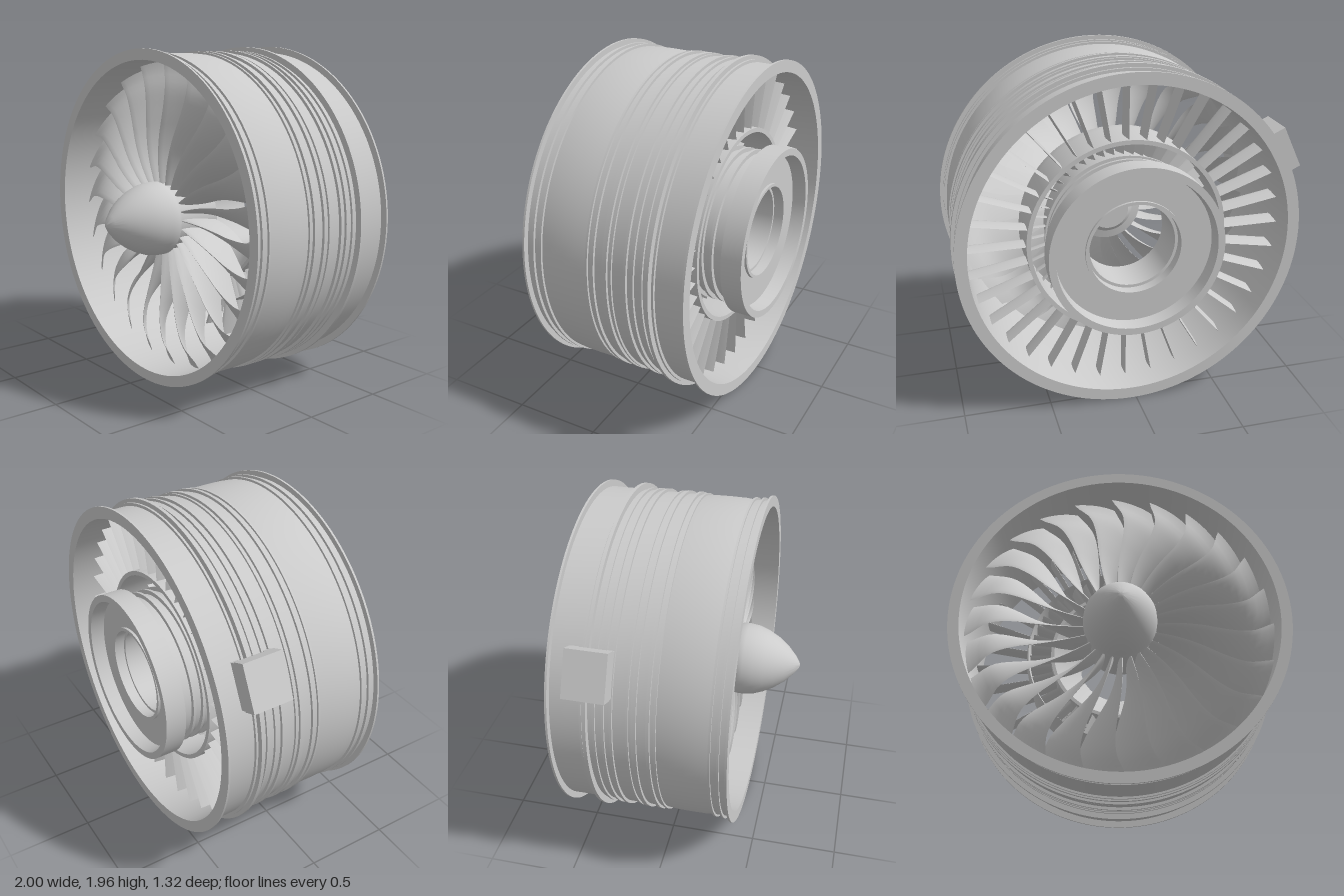
import * as THREE from 'three';
import { toCreasedNormals } from 'three/addons/utils/BufferGeometryUtils.js';

const material = new THREE.MeshStandardMaterial({ color: 0xcccccc, side: THREE.DoubleSide });
const rad = THREE.MathUtils.degToRad;

// Smooth interpolation through evenly spaced key values
const keyed = (...values) => {
  const curve = new THREE.SplineCurve(values.map((v, i) => new THREE.Vector2(i, v)));
  return (t) => curve.getPoint(t).y;
};

// Turned part about the z axis, from [radius, z] points
function turned(name, profile, segments = 112, crease = 0.45) {
  const geo = new THREE.LatheGeometry(profile.map(([r, z]) => new THREE.Vector2(r, z)), segments);
  geo.rotateX(Math.PI / 2);
  const mesh = new THREE.Mesh(toCreasedNormals(geo, crease), material);
  mesh.name = name;
  return mesh;
}

// Radial aerofoil lofted from closed sections laid on cylinders
function aerofoil(spec, rows, cols) {
  const pos = [], index = [], loop = cols * 2;
  for (let i = 0; i <= rows; i++) {
    const t = i / rows;
    const r = THREE.MathUtils.lerp(spec.r0, spec.r1, t);
    const lead = rad(spec.angle(t)), zL = spec.zLead(t), zT = spec.zTrail(t);
    const w = spec.width(t), thick = spec.thick(t);
    for (let j = 0; j < loop; j++) {
      const s = (1 - Math.cos((j / cols) * Math.PI)) / 2;
      const side = j < cols ? 1 : -1;
      // camber line, its normal and the half thickness
      const c = w * (s + spec.camber * s * (1 - s));
      const dc = w * (1 + spec.camber * (1 - 2 * s)), dz = zT - zL;
      const len = Math.hypot(dc, dz);
      const h = side * thick * (2.2 * Math.sqrt(s) * (1 - s) + 0.15 * Math.sqrt(s * (1 - s)));
      const tang = c - (h * dz) / len;
      const z = zL + dz * s + (h * dc) / len;
      const a = lead - tang / r;
      pos.push(r * Math.cos(a), r * Math.sin(a), z);
    }
  }
  for (let i = 0; i < rows; i++) {
    for (let j = 0; j < loop; j++) {
      const a = i * loop + j, b = i * loop + ((j + 1) % loop);
      index.push(a, a + loop, b, b, a + loop, b + loop);
    }
  }
  // end caps
  for (const [base, flip] of [[0, false], [rows * loop, true]]) {
    for (let j = 0; j < cols; j++) {
      const a = base + j, b = base + j + 1;
      const c = base + ((loop - j) % loop), d = base + loop - j - 1;
      if (flip) index.push(a, d, b, a, c, d);
      else index.push(a, b, d, a, d, c);
    }
  }
  const geo = new THREE.BufferGeometry();
  geo.setAttribute('position', new THREE.Float32BufferAttribute(pos, 3));
  geo.setIndex(index);
  return toCreasedNormals(geo, 0.7);
}

// Ring of equal parts about the z axis
function ring(name, partName, geo, count) {
  const group = new THREE.Group();
  group.name = name;
  for (let i = 0; i < count; i++) {
    const mesh = new THREE.Mesh(geo, material);
    mesh.name = partName;
    mesh.rotation.z = (i / count) * Math.PI * 2;
    group.add(mesh);
  }
  return group;
}

function casing() {
  // ribs as [z, half width, radius], from back to front
  const ribs = [
    [-0.565, 0.006, 0.978], [-0.385, 0.006, 0.957], [-0.36, 0.01, 0.977], [-0.315, 0.006, 0.953],
    [-0.265, 0.006, 0.955], [-0.222, 0.007, 0.957], [-0.135, 0.005, 0.952], [-0.1, 0.013, 0.956],
    [-0.025, 0.009, 0.956], [0.012, 0.006, 0.952], [0.3, 0.006, 0.954], [0.347, 0.006, 0.956],
    [0.394, 0.006, 0.973],
  ];
  const outer = [];
  for (const [z, h, r] of ribs) {
    if (z === 0.3) outer.push([0.945, 0.08], [0.946, 0.16], [0.945, 0.24]);
    outer.push([0.94, z - h], [r, z - h], [r, z + h], [0.94, z + h]);
  }
  outer.pop();
  const inner = [[0.91, 0.4], [0.908, 0.24], [0.905, 0], [0.905, -0.45], [0.91, -0.571], [0.94, -0.571]];
  return turned('casing', [...outer, ...inner], 128);
}

function accessoryBox() {
  const group = new THREE.Group();
  group.name = 'accessoryBox';
  // x is radial, y is tangential
  const block = (name, r0, r1, width, z0, z1, y = 0) => {
    const mesh = new THREE.Mesh(new THREE.BoxGeometry(r1 - r0, width, z1 - z0), material);
    mesh.name = name;
    mesh.position.set((r0 + r1) / 2, y, (z0 + z1) / 2);
    group.add(mesh);
  };
  block('boxBody', 0.98, 1.065, 0.26, -0.45, -0.22);
  block('boxBase', 0.92, 0.98, 0.16, -0.4, -0.26);
  for (const s of [-1, 1]) {
    block('clampFoot', 0.925, 0.975, 0.03, -0.41, -0.25, s * 0.09);
    block('clampBar', 0.945, 0.98, 0.25, -0.335 + s * 0.095 - 0.02, -0.335 + s * 0.095 + 0.02);
  }
  group.rotation.z = rad(154.5);
  return group;
}

export function createModel() {
  const model = new THREE.Group();
  model.name = 'turbofan';
  const engine = new THREE.Group();
  engine.name = 'engine';
  engine.position.set(0.02, 0.98, 0);
  model.add(engine);

  engine.add(casing(), accessoryBox());

  // Nose cone and fan disc
  engine.add(turned('noseCone', [
    [0, 0.28], [0.2, 0.28], [0.213, 0.3], [0.213, 0.34], [0.206, 0.4], [0.184, 0.46], [0.152, 0.52],
    [0.107, 0.58], [0.054, 0.63], [0.018, 0.655], [0, 0.66],
  ], 64, 0.6));
  engine.add(turned('fanDisc', [
    [0, -0.02], [0.12, -0.02], [0.15, 0.01], [0.2, 0.02], [0.2, 0.28], [0, 0.28],
  ], 64));

  // Twisted fan blades
  const fanBlade = aerofoil({
    r0: 0.195, r1: 0.907, camber: 0.35,
    angle: keyed(3, 2, 0, -2, -1.5, 3),
    zLead: keyed(0.28, 0.29, 0.29, 0.28, 0.26, 0.22),
    zTrail: keyed(0.03, 0.02, 0.03, 0.05, 0.08, 0.1),
    width: keyed(0.02, 0.065, 0.125, 0.172, 0.215, 0.255),
    thick: keyed(0.013, 0.012, 0.01, 0.008, 0.006, 0.004),
  }, 18, 10);
  engine.add(ring('fan', 'fanBlade', fanBlade, 24));

  // Narrow guide vanes behind the fan, between core and casing
  const guideVane = aerofoil({
    r0: 0.56, r1: 0.907, camber: 0.5,
    angle: () => 0,
    zLead: () => -0.31,
    zTrail: () => -0.43,
    width: () => -0.006,
    thick: () => 0.007,
  }, 2, 8);
  engine.add(ring('guideVanes', 'guideVane', guideVane, 36));

  // Short vanes at the core inlet
  const coreVane = aerofoil({
    r0: 0.41, r1: 0.565, camber: 0.4,
    angle: () => 0,
    zLead: () => -0.15,
    zTrail: () => -0.24,
    width: () => -0.03,
    thick: () => 0.006,
  }, 1, 6);
  engine.add(ring('coreVanes', 'coreVane', coreVane, 48));

  // Splitter ring that carries the guide vanes
  engine.add(turned('splitter', [
    [0.55, -0.44], [0.575, -0.44], [0.575, -0.2], [0.57, -0.14], [0.56, -0.11], [0.552, -0.14], [0.55, -0.44],
  ]));

  // Hollow core with its rear drum, recessed rear face and stepped bore
  engine.add(turned('core', [
    [0.245, -0.5], [0.245, -0.535], [0.262, -0.535], [0.262, -0.595], [0.28, -0.595], [0.28, -0.58],
    [0.445, -0.58], [0.455, -0.66], [0.495, -0.66], [0.495, -0.54], [0.43, -0.54], [0.43, -0.28],
    [0.42, -0.12], [0.4, -0.12], [0.26, -0.28], [0.245, -0.3], [0.245, -0.5],
  ]));
  for (const z of [-0.46, -0.4, -0.34]) {
    engine.add(turned('coreRib', [
      [0.42, z - 0.008], [0.455, z - 0.008], [0.455, z + 0.008], [0.42, z + 0.008],
    ], 96));
  }
  return model;
}
